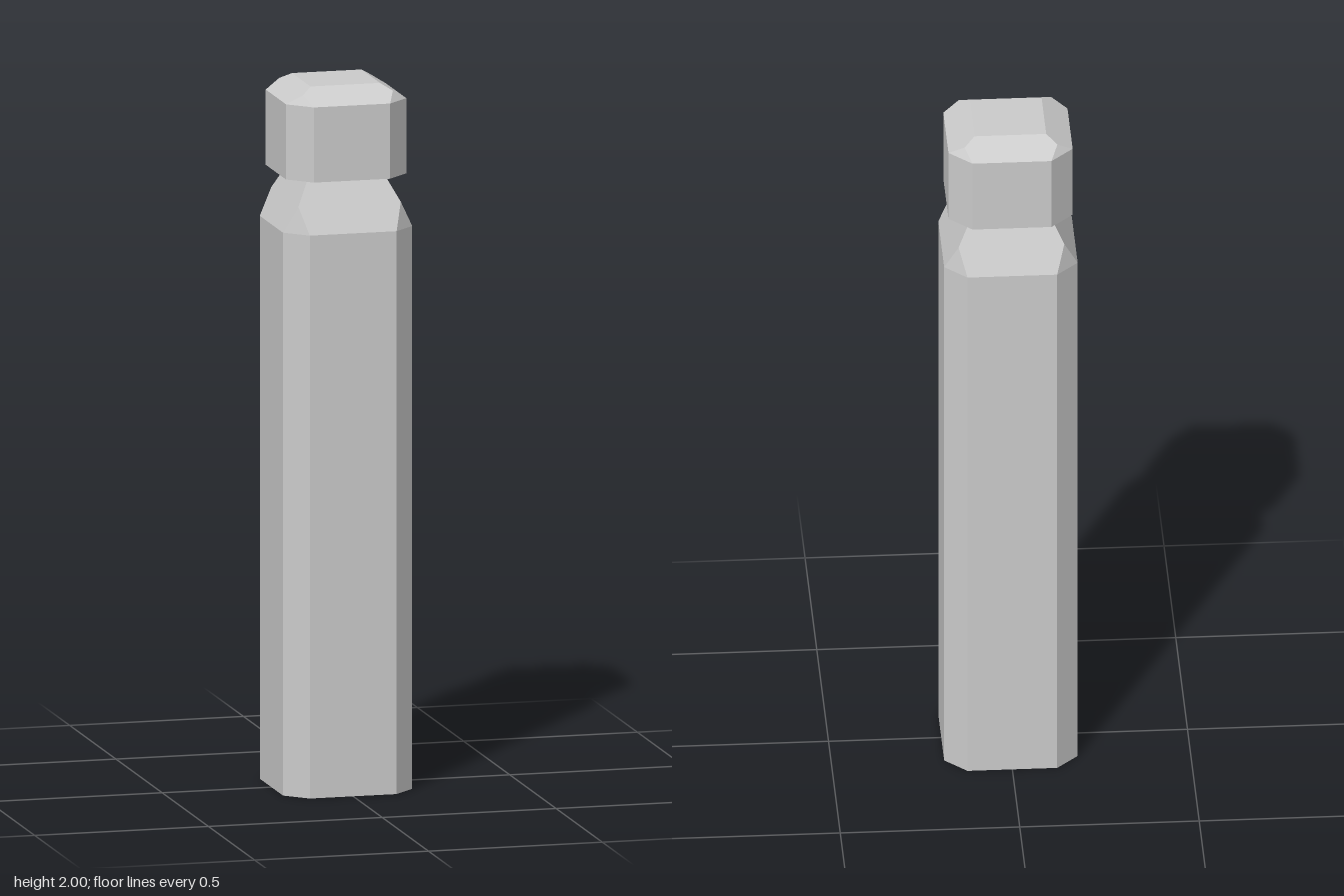
import * as THREE from 'three';

const material = new THREE.MeshStandardMaterial({ color: 0xcccccc, flatShading: true });

// Square block with chamfered corners, tapering to a plain square top.
// The corner chamfers run out in a triangular tip on the taper.
function chamferedBlock({ half, flat, bottom, shoulder, tip, top, topHalf }) {
  const tipHalf = THREE.MathUtils.mapLinear(tip, shoulder, top, half, topHalf);
  const positions = [];
  const addFace = (corners, turns = 0) => {
    const points = corners.map((c) =>
      new THREE.Vector3(...c).applyAxisAngle(new THREE.Vector3(0, 1, 0), turns * Math.PI / 2));
    for (let i = 1; i < points.length - 1; i++) {
      for (const p of [points[0], points[i], points[i + 1]]) positions.push(p.x, p.y, p.z);
    }
  };

  for (let turn = 0; turn < 4; turn++) {
    // Main wall
    addFace([[-flat, bottom, half], [flat, bottom, half], [flat, shoulder, half], [-flat, shoulder, half]], turn);
    // Corner chamfer
    addFace([[flat, bottom, half], [half, bottom, flat], [half, shoulder, flat], [flat, shoulder, half]], turn);
    // Chamfer tip
    addFace([[flat, shoulder, half], [half, shoulder, flat], [tipHalf, tip, tipHalf]], turn);
    // Sloped taper
    addFace([
      [-flat, shoulder, half], [flat, shoulder, half], [tipHalf, tip, tipHalf],
      [topHalf, top, topHalf], [-topHalf, top, topHalf], [-tipHalf, tip, tipHalf],
    ], turn);
  }

  // Top square and octagonal underside
  const t = topHalf;
  addFace([[-t, top, t], [t, top, t], [t, top, -t], [-t, top, -t]]);
  addFace([
    [-flat, bottom, half], [-half, bottom, flat], [-half, bottom, -flat], [-flat, bottom, -half],
    [flat, bottom, -half], [half, bottom, -flat], [half, bottom, flat], [flat, bottom, half],
  ]);

  const geometry = new THREE.BufferGeometry();
  geometry.setAttribute('position', new THREE.Float32BufferAttribute(positions, 3));
  geometry.computeVertexNormals();
  return geometry;
}

export function createModel() {
  const model = new THREE.Group();
  model.name = 'bollardPost';

  // Tall shaft narrowing to the neck
  const shaft = new THREE.Mesh(chamferedBlock({
    half: 0.186, flat: 0.125, bottom: 0, shoulder: 1.595, tip: 1.67, top: 1.742, topHalf: 0.11,
  }), material);
  shaft.name = 'shaft';

  // Bevelled cap overhanging the neck
  const cap = new THREE.Mesh(chamferedBlock({
    half: 0.173, flat: 0.11, bottom: 1.742, shoulder: 1.955, tip: 1.982, top: 2, topHalf: 0.1,
  }), material);
  cap.name = 'cap';

  model.add(shaft, cap);
  return model;
}
